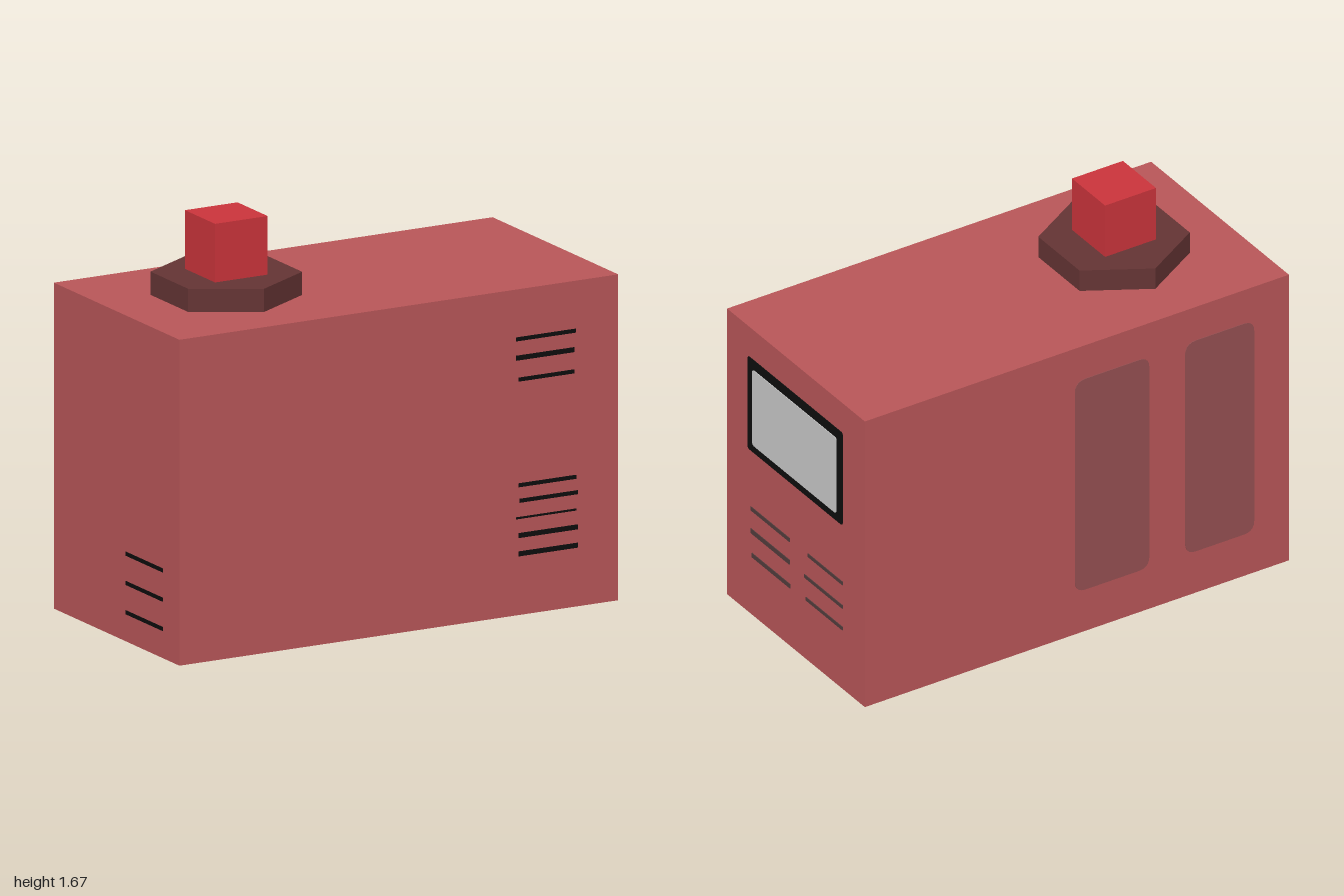
import * as THREE from 'three';

const mat = (name, color) => new THREE.MeshStandardMaterial({ name, color });

export function createModel() {
  const model = new THREE.Group();
  model.name = 'machine';

  const bodyRed = mat('bodyRed', 0xb85658);
  const capBrown = mat('capBrown', 0x643434);
  const chimneyRed = mat('chimneyRed', 0xca343b);
  const black = mat('black', 0x0d0d0d);
  const glassGrey = mat('glassGrey', 0xc9c9c9);
  const slotGrey = mat('slotGrey', 0x523d3d);
  const panelRed = mat('panelRed', 0x965052);

  const W = 2, H = 1.335, D = 1;

  const add = (name, geometry, material, x, y, z) => {
    const mesh = new THREE.Mesh(geometry, material);
    mesh.name = name;
    mesh.position.set(x, y, z);
    model.add(mesh);
  };

  // Main housing with hexagonal collar and square chimney
  add('body', new THREE.BoxGeometry(W, H, D), bodyRed, 0, H / 2, 0);
  add('collar', new THREE.CylinderGeometry(0.3, 0.3, 0.095, 6).toNonIndexed(), capBrown, -0.5, H + 0.0475, 0);
  add('chimney', new THREE.BoxGeometry(0.24, 0.24, 0.24), chimneyRed, -0.5, 1.55, 0);

  // One group per wall; local x runs rightward and local z points outward
  const wall = (name, angle, distance) => {
    const g = new THREE.Group();
    g.name = name;
    g.rotation.y = angle;
    g.position.set(Math.sin(angle) * distance, 0, Math.cos(angle) * distance);
    model.add(g);
    return g;
  };
  const front = wall('frontDetails', 0, D / 2);
  const screenSide = wall('screenSideDetails', Math.PI / 2, W / 2);
  const back = wall('backDetails', Math.PI, D / 2);
  const chimneySide = wall('chimneySideDetails', -Math.PI / 2, W / 2);

  // Thin plate with rounded corners
  const plate = (parent, name, material, x0, x1, y0, y1, r = 0, thick = 0.003) => {
    const s = new THREE.Shape();
    s.moveTo(x0 + r, y0);
    s.lineTo(x1 - r, y0);
    if (r) s.quadraticCurveTo(x1, y0, x1, y0 + r);
    s.lineTo(x1, y1 - r);
    if (r) s.quadraticCurveTo(x1, y1, x1 - r, y1);
    s.lineTo(x0 + r, y1);
    if (r) s.quadraticCurveTo(x0, y1, x0, y1 - r);
    s.lineTo(x0, y0 + r);
    if (r) s.quadraticCurveTo(x0, y0, x0 + r, y0);
    const geometry = new THREE.ExtrudeGeometry(s, { depth: thick, bevelEnabled: false, curveSegments: 5 });
    const mesh = new THREE.Mesh(geometry, material);
    mesh.name = name;
    parent.add(mesh);
  };
  const slot = (parent, material, [x0, x1, y, h]) =>
    plate(parent, 'ventSlot', material, x0, x1, y - h / 2, y + h / 2);

  // Front vents: three upper and five lower slots
  [
    [0.535, 0.805, 1.131, 0.016], [0.535, 0.80, 1.054, 0.02], [0.545, 0.80, 0.965, 0.016],
    [0.545, 0.807, 0.532, 0.016], [0.55, 0.815, 0.468, 0.016], [0.535, 0.807, 0.398, 0.008],
    [0.545, 0.815, 0.326, 0.02], [0.545, 0.815, 0.251, 0.02],
  ].forEach((v) => slot(front, black, v));

  // Screen with black surround
  plate(screenSide, 'screenFrame', black, -0.347, 0.34, 0.765, 1.197, 0.012);
  plate(screenSide, 'screen', glassGrey, -0.31, 0.30, 0.80, 1.153, 0.015, 0.006);

  // Two columns of slots under the screen
  [
    [-0.327, -0.045, 0.494, 0.018], [0.088, 0.34, 0.494, 0.016],
    [-0.327, -0.045, 0.39, 0.022], [0.062, 0.34, 0.384, 0.016],
    [-0.318, -0.04, 0.28, 0.02], [0.075, 0.34, 0.283, 0.016],
  ].forEach((v) => slot(screenSide, slotGrey, v));

  // Tall rounded panels on the back
  plate(back, 'backPanel', panelRed, -0.01, 0.34, 0.195, 1.18, 0.05);
  plate(back, 'backPanel', panelRed, 0.51, 0.835, 0.195, 1.18, 0.05);

  // Three slots low on the chimney end
  [0.36, 0.24, 0.12].forEach((y) => slot(chimneySide, black, [0.075, 0.37, y, 0.016]));

  // Flat facets on the collar
  model.getObjectByName('collar').geometry.computeVertexNormals();
  return model;
}
